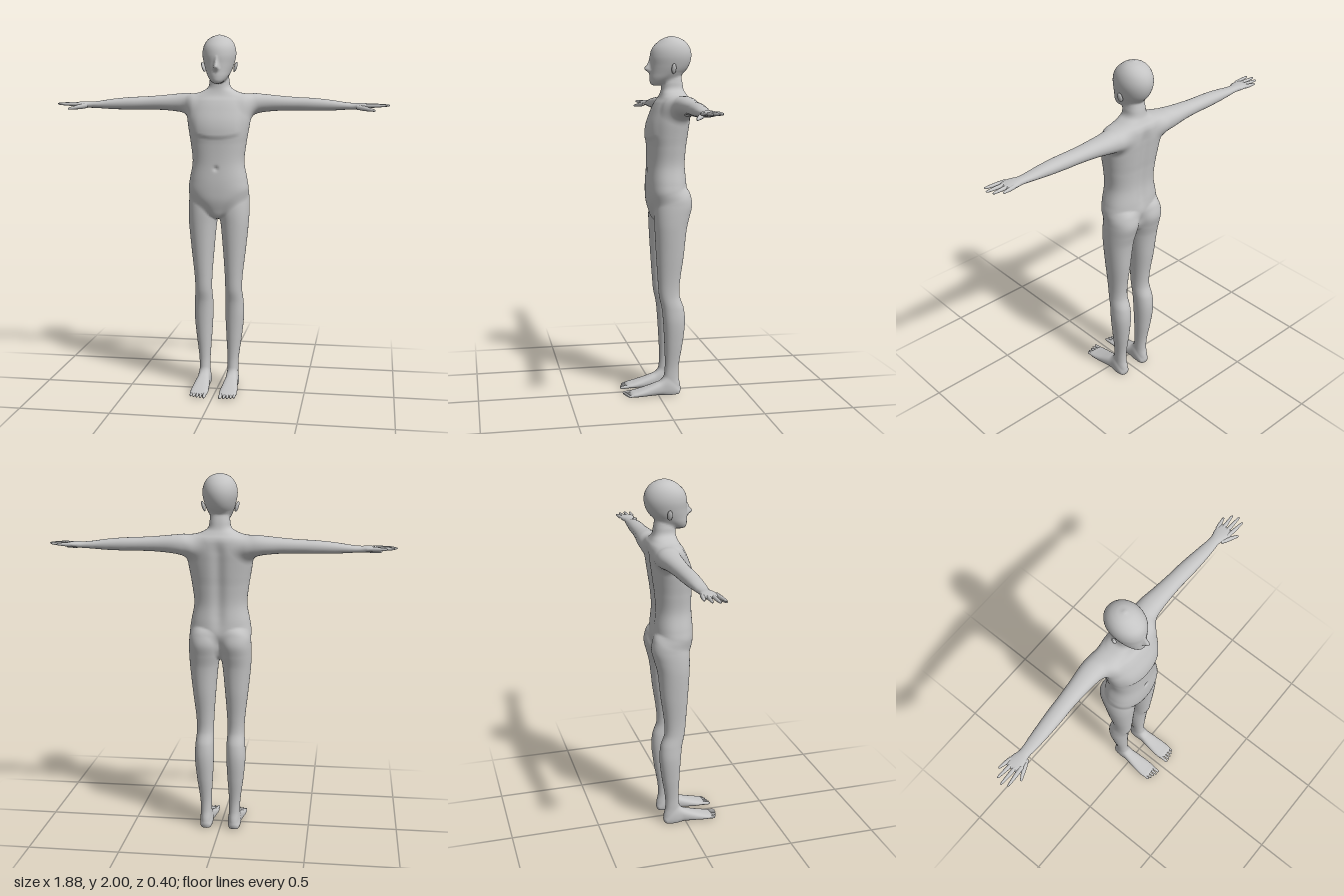
import * as THREE from 'three';

const skin = new THREE.MeshStandardMaterial({ color: 0xc4c4c4 });
skin.name = 'grey skin';

const step = THREE.MathUtils.smoothstep;

// Distance to a rounded form through sections [t, uMin, uMax, vMin, vMax];
// order names the axes of t, u and v, n sets how square the sections are
function form(order, n, rows) {
  const [a, b, c] = [...order].map((s) => 'xyz'.indexOf(s));
  const last = rows.length - 1;
  const slopes = rows.map((_, k) => {
    const p = rows[Math.max(k - 1, 0)], q = rows[Math.min(k + 1, last)];
    return p.map((v, m) => (q[m] - v) / (q[0] - p[0]));
  });
  return (p) => {
    const t = Math.min(Math.max(p[a], rows[0][0]), rows[last][0]);
    const beyond = Math.abs(p[a] - t);
    if (beyond > 0.1) return beyond;
    let k = 0;
    while (k < last - 1 && t > rows[k + 1][0]) k++;
    const r = rows[k], s = rows[k + 1], w = s[0] - r[0], f = (t - r[0]) / w, g = 1 - f;
    const at = (m) => r[m] * g * g * (1 + 2 * f) + s[m] * f * f * (3 - 2 * f)
      + w * f * g * (slopes[k][m] * g - slopes[k + 1][m] * f);
    const u0 = at(1), u1 = at(2), v0 = at(3), v1 = at(4);
    const du = Math.abs(p[b] - (u0 + u1) / 2) + 1e-6, dv = Math.abs(p[c] - (v0 + v1) / 2);
    const ru = Math.max((u1 - u0) / 2, 0.002), rv = Math.max((v1 - v0) / 2, 0.002);
    const q = ((du / ru) ** n + (dv / rv) ** n) ** (1 / n);
    const side = Math.hypot(du, dv) * (1 - 1 / q);
    return beyond > 0 ? beyond + Math.max(side, 0) : side;
  };
}

// Soft union of two distances
function blend(a, b, k) {
  const h = Math.max(k - Math.abs(a - b), 0) / k;
  return Math.min(a, b) - (h * h * k) / 4;
}

const sym = (rows) => rows.map(([y, x, z0, z1]) => [y, -x, x, z0, z1]);

const torso = form('yxz', 2.3, sym([
  [0.985, 0.01, -0.06, 0.0], [1.0, 0.04, -0.11, 0.02], [1.04, 0.09, -0.14, 0.036],
  [1.09, 0.14, -0.152, 0.049], [1.14, 0.167, -0.168, 0.053], [1.2, 0.162, -0.168, 0.053],
  [1.3, 0.145, -0.16, 0.047], [1.4, 0.155, -0.166, 0.047], [1.46, 0.165, -0.174, 0.05],
  [1.53, 0.176, -0.183, 0.042], [1.59, 0.18, -0.19, 0.023], [1.64, 0.172, -0.19, 0.0],
  [1.665, 0.155, -0.183, -0.018], [1.685, 0.11, -0.17, -0.027], [1.71, 0.066, -0.157, -0.033],
  [1.75, 0.055, -0.15, -0.036], [1.8, 0.048, -0.14, -0.05],
]));

const head = form('yxz', 2, sym([
  [1.735, 0.015, -0.02, 0.018], [1.745, 0.034, -0.06, 0.028], [1.77, 0.054, -0.105, 0.032],
  [1.8, 0.069, -0.155, 0.031], [1.84, 0.083, -0.186, 0.03], [1.89, 0.093, -0.2, 0.03],
  [1.935, 0.088, -0.193, 0.017], [1.97, 0.069, -0.168, -0.016], [1.991, 0.04, -0.133, -0.05],
  [2.0, 0.005, -0.095, -0.085],
]));

const nose = form('yxz', 2, sym([
  [1.796, 0.006, 0.0, 0.03], [1.811, 0.015, 0.0, 0.048], [1.824, 0.014, 0.0, 0.065],
  [1.85, 0.01, 0.0, 0.046], [1.88, 0.006, 0.0, 0.03],
]));

const leg = form('yxz', 2.15, [
  [0.004, 0.052, 0.108, -0.12, -0.02], [0.02, 0.048, 0.112, -0.129, -0.012], [0.05, 0.047, 0.113, -0.128, -0.02],
  [0.1, 0.05, 0.112, -0.118, -0.032], [0.17, 0.05, 0.115, -0.119, -0.039], [0.3, 0.042, 0.132, -0.139, -0.035],
  [0.42, 0.036, 0.143, -0.151, -0.028], [0.5, 0.036, 0.14, -0.144, -0.02], [0.57, 0.039, 0.134, -0.121, -0.005],
  [0.65, 0.037, 0.137, -0.122, 0.002], [0.8, 0.026, 0.154, -0.142, 0.012], [0.95, 0.012, 0.169, -0.158, 0.02],
  [1.02, 0.001, 0.172, -0.175, 0.022], [1.08, -0.004, 0.171, -0.189, 0.018], [1.13, 0.002, 0.165, -0.182, 0.006],
  [1.165, 0.03, 0.142, -0.165, -0.015], [1.19, 0.07, 0.11, -0.12, -0.05],
]);

const foot = form('zyx', 2.5, [
  [-0.115, 0.0, 0.03, 0.055, 0.105], [-0.05, 0.0, 0.09, 0.05, 0.112], [0.0, 0.0, 0.075, 0.042, 0.12],
  [0.06, 0.0, 0.053, 0.035, 0.128], [0.12, 0.0, 0.034, 0.031, 0.133], [0.152, 0.002, 0.025, 0.034, 0.13],
  [0.163, 0.007, 0.017, 0.045, 0.12],
]);

const arm = form('xzy', 2.15, [
  [0.07, -0.15, -0.07, 1.59, 1.64], [0.14, -0.184, -0.03, 1.56, 1.672], [0.19, -0.188, -0.053, 1.565, 1.68],
  [0.24, -0.186, -0.064, 1.575, 1.676], [0.32, -0.175, -0.07, 1.583, 1.668], [0.42, -0.165, -0.073, 1.586, 1.66],
  [0.52, -0.158, -0.07, 1.585, 1.655], [0.62, -0.148, -0.07, 1.587, 1.645], [0.7, -0.139, -0.073, 1.592, 1.633],
  [0.75, -0.134, -0.076, 1.594, 1.629], [0.785, -0.142, -0.064, 1.597, 1.63], [0.82, -0.148, -0.056, 1.602, 1.627],
  [0.842, -0.145, -0.059, 1.605, 1.624], [0.85, -0.13, -0.07, 1.61, 1.618],
]);

// Whole skin: parts blended, with spine groove, chest edge and navel
function body(px, y, z) {
  const x = Math.abs(px), p = [x, y, z];
  const spine = 0.013 * Math.exp(-((x / 0.035) ** 2)) * step(-z, 0.06, 0.12)
    * step(y, 1.1, 1.25) * (1 - step(y, 1.58, 1.68));
  const edge = 1.425 + 1.2 * x * x;
  const chest = 0.006 * step(z, -0.02, 0.02) * step(y, edge, edge + 0.03)
    * (1 - step(y, 1.48, 1.6)) * (1 - step(x, 0.1, 0.15));
  const navel = 0.009 * Math.exp(-((x / 0.013) ** 2) - ((y - 1.27) / 0.013) ** 2) * step(z, 0, 0.03);
  let d = torso(p) + spine - chest + navel;
  d = blend(d, blend(head(p), nose(p), 0.014), 0.02);
  d = blend(d, arm(p), 0.045);
  d = blend(d, blend(leg(p), foot(p), 0.025), 0.022);
  return Math.max(d, -y);
}

// Mesh the zero surface of a distance on a regular grid
function surface(field, min, counts, h) {
  const [nx, ny, nz] = counts, stride = [1, nx, nx * ny];
  const val = new Float32Array(nx * ny * nz), cell = new Int32Array(nx * ny * nz);
  const eachPoint = (margin, visit) => {
    for (let k = margin; k < nz - margin; k++)
      for (let j = margin; j < ny - margin; j++)
        for (let i = margin; i < nx - margin; i++) visit(i + j * nx + k * nx * ny, [i, j, k]);
  };
  eachPoint(0, (id, ijk) => { val[id] = field(...ijk.map((q, m) => min[m] + q * h)); });
  const crosses = (p, a) => (val[p] < 0) !== (val[p + stride[a]] < 0);
  const pos = [], normal = [], index = [], e = 0.004;

  // One vertex per crossed cell, at the mean of its edge crossings
  eachPoint(1, (id, ijk) => {
    const sum = [0, 0, 0];
    let count = 0;
    for (let a = 0; a < 3; a++) {
      const b = (a + 1) % 3, c = (a + 2) % 3;
      for (let o = 0; o < 4; o++) {
        const ob = o & 1, oc = o >> 1, p = id + ob * stride[b] + oc * stride[c];
        if (!crosses(p, a)) continue;
        sum[a] += val[p] / (val[p] - val[p + stride[a]]);
        sum[b] += ob;
        sum[c] += oc;
        count++;
      }
    }
    if (!count) return;
    cell[id] = pos.length / 3;
    const [x, y, z] = ijk.map((q, m) => min[m] + h * (q + sum[m] / count));
    pos.push(x, y, z);
    normal.push(...new THREE.Vector3(
      field(x + e, y, z) - field(x - e, y, z),
      field(x, y + e, z) - field(x, y - e, z),
      field(x, y, z + e) - field(x, y, z - e)).normalize().toArray());
  });

  // One quad around each crossed grid edge
  eachPoint(2, (id) => {
    for (let a = 0; a < 3; a++) {
      if (!crosses(id, a)) continue;
      const sb = stride[(a + 1) % 3], sc = stride[(a + 2) % 3];
      const [p, q, r, s] = [id, id - sb, id - sb - sc, id - sc].map((n) => cell[n]);
      if (val[id] < 0) index.push(p, q, r, p, r, s);
      else index.push(p, r, q, p, s, r);
    }
  });
  const g = new THREE.BufferGeometry();
  g.setAttribute('position', new THREE.Float32BufferAttribute(pos, 3));
  g.setAttribute('normal', new THREE.Float32BufferAttribute(normal, 3));
  g.setIndex(index);
  return g;
}

// Finger or toe: tapered rounded rod from one point to another
function digit(from, to, r0, r1) {
  const a = new THREE.Vector3(...from), dir = new THREE.Vector3(...to).sub(a), len = dir.length();
  const profile = [[r0, 0], [r0 * 0.95, 0.4], [r1 * 1.1, 0.75], [r1 * 0.85, 0.92], [r1 * 0.5, 0.98], [0, 1]];
  const g = new THREE.LatheGeometry(profile.map(([r, f]) => new THREE.Vector2(r, f * len)), 12);
  g.applyQuaternion(new THREE.Quaternion().setFromUnitVectors(new THREE.Vector3(0, 1, 0), dir.normalize()));
  return g.translate(a.x, a.y, a.z);
}

export function createModel() {
  const model = new THREE.Group();
  model.name = 'figure';
  const add = (name, geometry) => {
    const mesh = new THREE.Mesh(geometry, skin);
    mesh.name = name;
    model.add(mesh);
  };
  add('body', surface(body, [-0.873, -0.032, -0.23], [195, 229, 49], 0.009));

  for (const [side, s] of [['left', 1], ['right', -1]]) {
    // Ears
    const ear = new THREE.SphereGeometry(1, 20, 14);
    ear.scale(0.009, 0.029, 0.014);
    ear.rotateY(0.35 * s);
    ear.rotateZ(-0.3 * s);
    add(side + ' ear', ear.translate(0.09 * s, 1.825, -0.085));

    // Toes, as x, tip z and radius
    [[0.045, 0.197, 0.01], [0.066, 0.195, 0.008], [0.085, 0.19, 0.008], [0.104, 0.184, 0.008], [0.121, 0.176, 0.008]]
      .forEach(([x, tip, r], i) =>
        add(`${side} toe ${i + 1}`, digit([x * s, 0.016, 0.13], [x * s, 0.009, tip], r, r * 0.85)));

    // Fingers and thumb, as base z, tip x and tip z
    [[-0.068, 0.925, -0.055], [-0.09, 0.94, -0.088], [-0.113, 0.925, -0.122], [-0.136, 0.885, -0.15]]
      .forEach(([z, tx, tz], i) =>
        add(`${side} finger ${i + 1}`, digit([0.81 * s, 1.615, z], [tx * s, 1.617, tz], 0.011, 0.007)));
    add(side + ' thumb', digit([0.765 * s, 1.607, -0.08], [0.862 * s, 1.59, -0.03], 0.014, 0.008));
  }
  return model;
}
